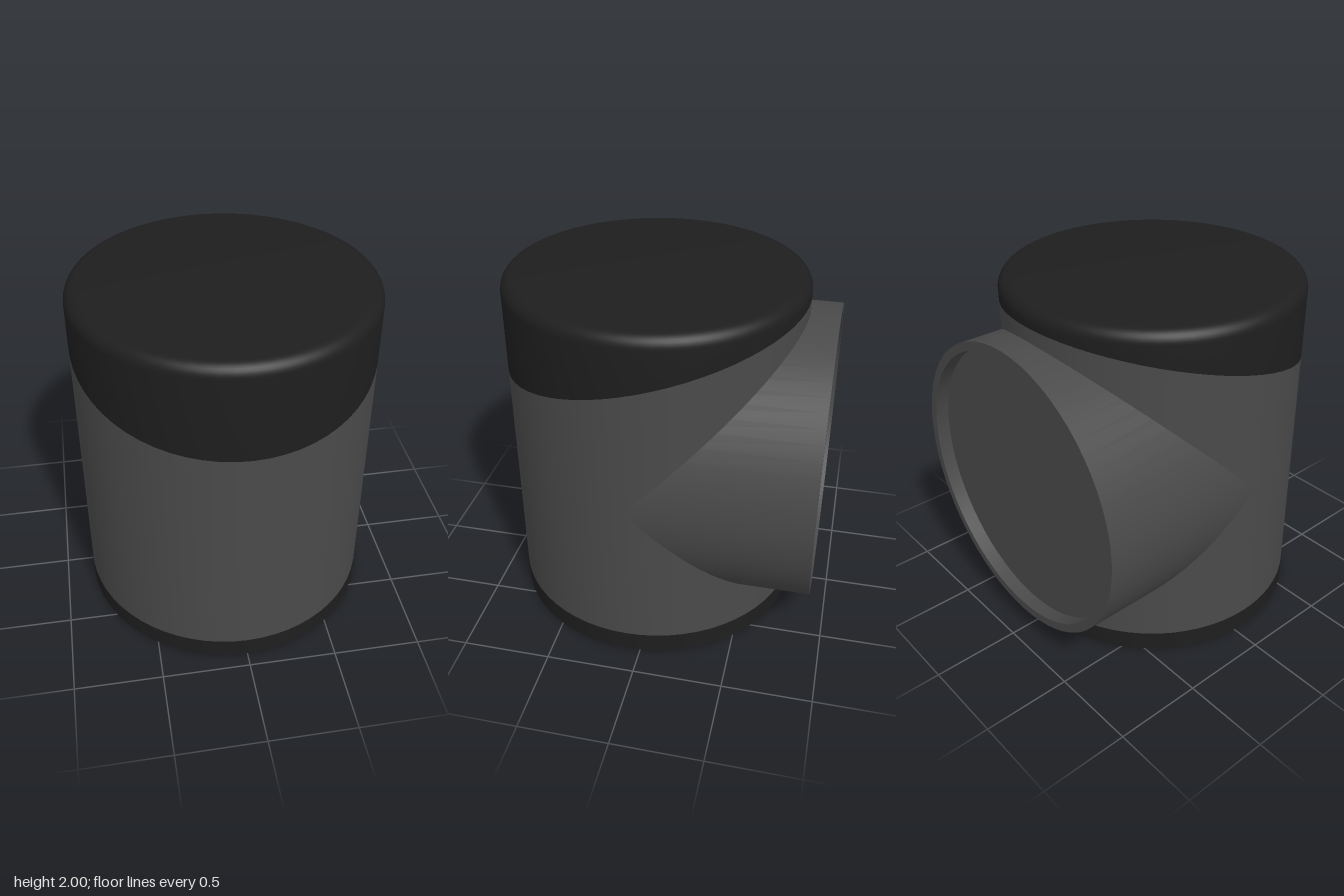
import * as THREE from 'three';
import { toCreasedNormals } from 'three/addons/utils/BufferGeometryUtils.js';

const R = 0.835;        // radius of both the body and the side branch
const AXIS_Z = 0.08;    // where the upright axis stands
const SEGMENTS = 64;
const BAND_TOP = 0.115;

const bodyMaterial = new THREE.MeshStandardMaterial({ color: 0x4a4a4a, side: THREE.DoubleSide });
const darkMaterial = new THREE.MeshStandardMaterial({ color: 0x1e1e1e, side: THREE.DoubleSide });

// Height of the slanted seam between body and cap, z measured from the axis
const seamY = (z) => 1.672 - (z / R) * 0.222;

// Turned part; points on the marker height SEAM are moved onto the slanted seam
const SEAM = 1.3;
function turned(name, points, material) {
  const lathe = new THREE.LatheGeometry(points.map(([x, y]) => new THREE.Vector2(x, y)), SEGMENTS);
  const p = lathe.attributes.position;
  for (let i = 0; i < p.count; i++) {
    if (Math.abs(p.getY(i) - SEAM) < 1e-4) p.setY(i, seamY(p.getZ(i)));
  }
  const mesh = new THREE.Mesh(toCreasedNormals(lathe, 0.6), material);
  mesh.name = name;
  return mesh;
}

export function createModel() {
  const model = new THREE.Group();
  model.name = 'pipeTee';

  // Upright parts: base band, body wall, and rounded cap with slanted lower edge
  const upright = new THREE.Group();
  upright.name = 'uprightPipe';
  upright.position.z = AXIS_Z;
  upright.add(turned('baseBand', [[0, 0], [R, 0], [R, BAND_TOP]], darkMaterial));
  upright.add(turned('body', [[R, BAND_TOP], [R, SEAM]], bodyMaterial));

  const round = 0.07;
  const capProfile = [[R, SEAM]];
  for (let i = 0; i <= 8; i++) {
    const a = (i / 8) * Math.PI / 2;
    capProfile.push([R - round + round * Math.cos(a), 2 - round + round * Math.sin(a)]);
  }
  capProfile.push([0, 2]);
  upright.add(turned('slantedCap', capProfile, darkMaterial));
  model.add(upright);

  // Side branch pointing backwards, with a shallow recess in its end
  const length = 0.915 + AXIS_Z;
  const inner = 0.785, floor = length - 0.08;
  const branch = turned('sideBranch',
    [[R, 0], [R, length], [inner, length], [inner, floor], [0, floor]], bodyMaterial);
  branch.rotation.x = -Math.PI / 2;
  branch.position.set(0, 0.98, AXIS_Z);
  model.add(branch);

  return model;
}
